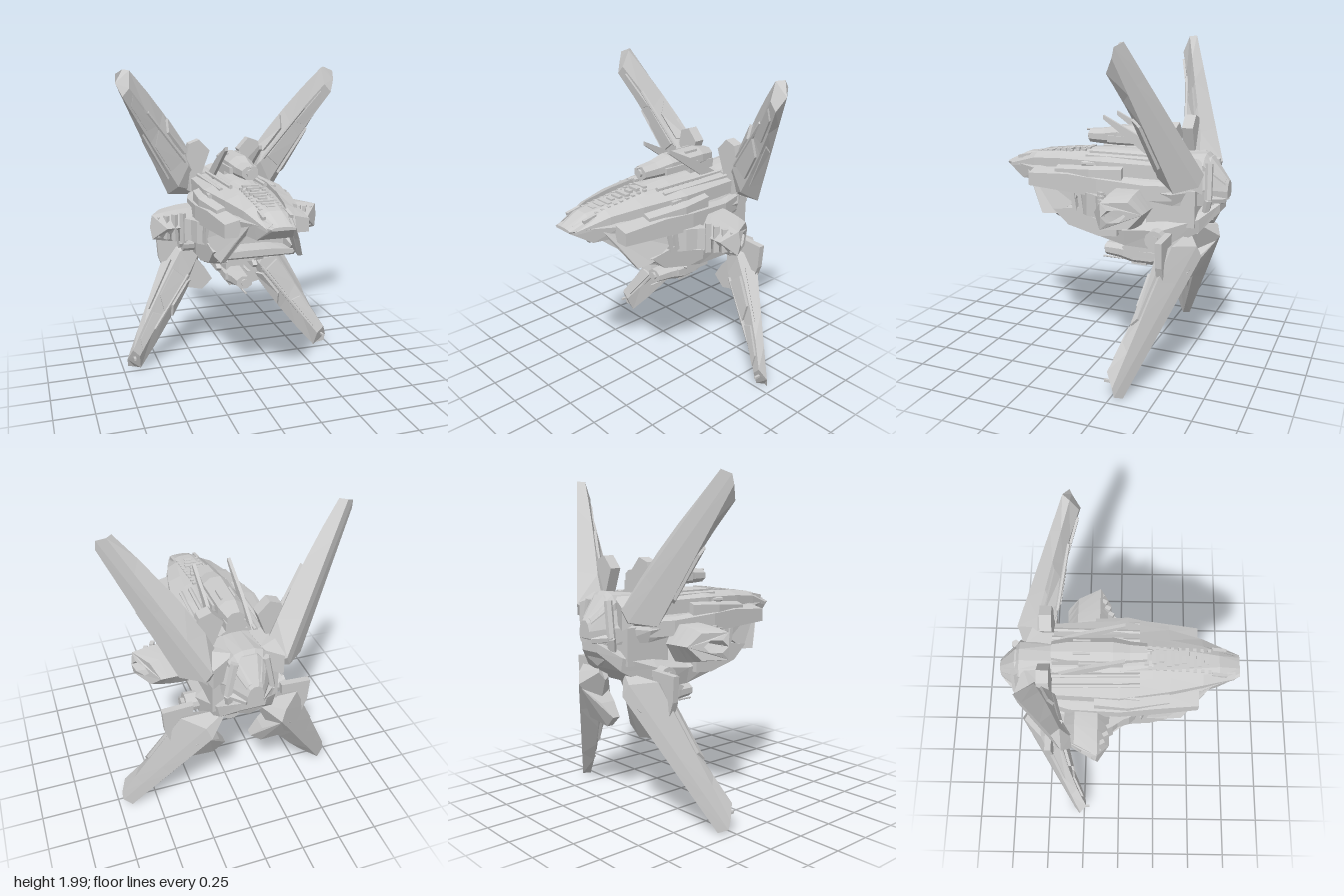
import * as THREE from 'three';

const mat = new THREE.MeshStandardMaterial({ color: 0xcccccc, flatShading: true, side: THREE.DoubleSide });

// Skin through a list of closed rings of [x, y, z], capped at both ends
function loft(rings) {
  const n = rings[0].length, idx = [];
  for (let r = 0; r < rings.length - 1; r++) for (let i = 0; i < n; i++) {
    const a = r * n + i, b = r * n + (i + 1) % n;
    idx.push(a, b, a + n, b, b + n, a + n);
  }
  [0, rings.length - 1].forEach((r, end) => {
    const tris = [];
    for (let i = 1; i < n - 1; i++) tris.push(r * n, r * n + i, r * n + i + 1);
    idx.push(...(end ? tris : tris.reverse()));
  });
  const g = new THREE.BufferGeometry();
  g.setAttribute('position', new THREE.Float32BufferAttribute(rings.flat(2), 3));
  g.setIndex(idx);
  const flat = g.toNonIndexed();
  flat.computeVertexNormals();
  return flat;
}

function add(parent, name, geo, x = 0, y = 0, z = 0, rx = 0, ry = 0, rz = 0) {
  const m = new THREE.Mesh(geo, mat);
  m.name = name;
  m.position.set(x, y, z);
  m.rotation.set(rx, ry, rz);
  parent.add(m);
  return m;
}
const box = (w, h, d) => new THREE.BoxGeometry(w, h, d);
const cyl = (r0, r1, h, n = 8) => new THREE.CylinderGeometry(r0, r1, h, n);

// Slabs: outline in (z, y) between two x values, or in (x, y) between two z values
const slab = (zy, x0, x1) => loft([x0, x1].map(x => zy.map(([z, y]) => [x, y, z])));
const plate = (xy, z0, z1) => loft([z0, z1].map(z => xy.map(([x, y]) => [x, y, z])));

// Box-section bar through stations of [z, inner x, outer x, top y, bottom y]
const bar = st => loft(st.map(([z, x0, x1, t, b]) => [[x0, t, z], [x1, t - 0.03, z], [x1, b, z], [x0, b, z]]));

// Symmetric hull ring from z, half width, top, waist and bottom heights
function hullRing([z, w, top, mid, bot]) {
  const half = [[0.3 * w, top], [0.72 * w, top * 0.7 + mid * 0.3], [w, mid], [0.9 * w, bot]];
  return [...half, ...half.slice().reverse().map(([x, y]) => [-x, y])].map(([x, y]) => [x, y, z]);
}

// Thin beam between two points
function beam(parent, name, a, b, r, n = 6) {
  const p = new THREE.Vector3(...a), q = new THREE.Vector3(...b), d = q.clone().sub(p);
  const m = add(parent, name, cyl(r, r, d.length(), n));
  m.position.copy(p).add(q).multiplyScalar(0.5);
  m.quaternion.setFromUnitVectors(new THREE.Vector3(0, 1, 0), d.normalize());
}

// Wing edges as [root, tip]: outer, two back, inner, front inner, front outer
const EDGES = [
  [[0.37, 1.15, -0.50], [0.725, 1.91, -0.275]],
  [[0.25, 1.17, -0.612], [0.72, 1.965, -0.285]],
  [[0.22, 1.24, -0.635], [0.67, 1.99, -0.32]],
  [[0.21, 1.41, -0.49], [0.635, 1.985, -0.28]],
  [[0.25, 1.36, -0.38], [0.645, 1.88, -0.235]],
  [[0.32, 1.22, -0.39], [0.69, 1.83, -0.23]],
];
const mix = (a, b, t) => a.map((v, i) => v + (b[i] - v) * t);
const wingPoint = (e, t) => {
  const p = mix(EDGES[e][0], EDGES[e][1], t);
  if (e > 3) p[2] -= 0.1 * t * (1 - t);
  if (e === 3) { p[0] -= 0.04 * t * (1 - t); p[1] += 0.06 * t * (1 - t); }
  return p;
};

// Raised plate on the wing between two edges, s = range across it
function wingPanel(e0, e1, t0, t1, s0, s1, lift) {
  const c = (t, s) => mix(wingPoint(e0, t), wingPoint(e1, t), s), d = (t1 - t0) * 0.15;
  const base = [c(t0, s0), c(t0 + d, s1), c(t1 - d, s1), c(t1, s0)];
  return loft([base, base.map(p => p.map((v, i) => v + lift[i]))]);
}

function wing(lower) {
  const g = new THREE.Group();
  const root = EDGES.map((_, e) => mix(wingPoint(e, 0), [0.08, 1.13, -0.52], 0.7));
  add(g, 'wingBlade', loft([root, ...[0, 0.25, 0.5, 0.75, 1].map(t => EDGES.map((_, e) => wingPoint(e, t)))]));
  // armour on the front and inner faces
  add(g, 'wingPlate', wingPanel(4, 5, 0.1, 0.5, 0.1, 0.9, [0, 0, 0.02]));
  add(g, 'wingPlate', wingPanel(4, 5, 0.55, 0.93, 0.15, 0.8, [0, 0, 0.015]));
  add(g, 'wingPlate', wingPanel(3, 4, 0.05, 0.45, 0.2, 0.8, [-0.015, 0.01, 0.01]));
  add(g, 'wingPlate', wingPanel(5, 0, 0.12, 0.6, 0.25, 0.8, [0.01, -0.01, 0.01]));
  beam(g, 'wingConduit', wingPoint(4, 0.05), wingPoint(4, 0.7), 0.012);
  if (lower) {
    add(g, 'wingHinge', cyl(0.06, 0.06, 0.1, 12), 0.26, 1.15, -0.37, 0, 0, Math.PI / 2);
    add(g, 'wingHingeCap', cyl(0.03, 0.04, 0.03, 8), 0.32, 1.15, -0.37, 0, 0, Math.PI / 2);
    add(g, 'wingTipGun', box(0.015, 0.015, 0.04), 0.68, 1.89, -0.23);
  }
  return g;
}

// Hollow six-sided pod pointing sideways, swept to a slimmer outer end
function sidePod() {
  const hex = (r, ry) => Array.from({ length: 6 }, (_, i) =>
    new THREE.Vector2(Math.cos(i * Math.PI / 3) * r, Math.sin(i * Math.PI / 3) * r * ry));
  const s = new THREE.Shape(hex(0.14, 0.92));
  s.holes.push(new THREE.Path(hex(0.06, 1)));
  const geo = new THREE.ExtrudeGeometry(s, { depth: 1, steps: 4, bevelEnabled: false });
  const p = geo.attributes.position;
  for (let i = 0; i < p.count; i++) {
    const z = p.getX(i) - 0.2, t = p.getZ(i);
    const y = 1.035 + p.getY(i) * (1 - 0.3 * t * t);
    const outer = Math.min(0.565 + 0.65 * (z + 0.14), 0.565 - 1.2 * (z + 0.14));
    p.setXYZ(i, 0.25 + (outer - 0.25) * t, y, z);
  }
  // swapping the axes mirrors the shape, so turn the faces back
  for (let i = 0; i < p.count; i += 3) {
    const a = [p.getX(i), p.getY(i), p.getZ(i)];
    p.setXYZ(i, p.getX(i + 1), p.getY(i + 1), p.getZ(i + 1));
    p.setXYZ(i + 1, ...a);
  }
  geo.computeVertexNormals();
  return geo;
}

// Gun turret along z with its nose at z1; dir = 1 above the hull, -1 below
function turret(parent, name, y, z0, z1, dir) {
  const ring = ([z, r, dy]) => Array.from({ length: 8 }, (_, i) => {
    const a = (i + 0.5) * Math.PI / 4;
    return [Math.cos(a) * r * 1.25, y + dir * dy + Math.sin(a) * r, z];
  });
  const g = new THREE.Group(), yb = y + (dir > 0 ? 0.025 : -0.052);
  g.name = name;
  add(g, 'turretBody', loft([[z0, 0.045, 0], [z0 + 0.1, 0.062, 0.005], [z1 - 0.2, 0.066, 0.003],
    [z1 - 0.1, 0.052, -0.008], [z1, 0.044, -0.01]].map(ring)));
  add(g, 'turretMuzzle', cyl(0.025, 0.025, 0.03, 8), 0, y - dir * 0.01, z1, Math.PI / 2);
  add(g, 'turretNeck', box(0.12, 0.12, 0.2), 0, y - dir * 0.08, z0 + 0.1);
  for (const s of [-1, 1]) {
    add(g, 'turretRail', box(0.02, 0.04, 0.26), s * 0.077, y - dir * 0.015, z1 - 0.27);
    add(g, 'turretFin', box(0.012, 0.04, 0.1), s * 0.04, y + dir * 0.045, z0 + 0.18);
  }
  beam(g, 'turretBarrel', [0, yb, z1 - 0.2], [0, yb, z1 + 0.03], 0.007);
  parent.add(g);
}

function halfDetails() {
  const g = new THREE.Group();
  // cheeks beside the open mouth, leaning in towards the nose
  add(g, 'cheekPlate', loft([0, 0.03].map(d => [[0.13 - d, 1.19, 0.56], [0.2 - d, 1.06, 0.47], [0.255 - d, 0.93, 0.39],
    [0.265 - d, 0.94, 0.29], [0.275 - d, 1.02, 0.16], [0.28 - d, 1.17, 0.1]])));
  add(g, 'shoulder', bar([[0.48, 0.13, 0.255, 1.21, 1.1], [0.2, 0.18, 0.285, 1.23, 1.09], [0, 0.2, 0.305, 1.22, 1.08],
    [-0.3, 0.2, 0.285, 1.2, 1.08], [-0.45, 0.18, 0.24, 1.2, 1.08]]));
  add(g, 'jawSide', slab([[0.3, 0.97], [0.2, 0.88], [0, 0.83], [-0.12, 0.84], [-0.12, 0.95], [0.1, 1.0]], 0.22, 0.275));
  add(g, 'sidePod', sidePod());
  add(g, 'podFairing', loft([0.96, 1.1].map(y => [[0.25, y, 0.13], [0.31, y, 0.06], [0.33, y, -0.01], [0.38, y, -0.06], [0.25, y, -0.06]])));
  // ribs around the pod and along the flank
  for (let i = 0; i < 4; i++)
    add(g, 'podRib', box(0.025, 0.19 - i * 0.02, 0.035), 0.37 + i * 0.048, 1.035, -0.06 - i * 0.022, 0, -0.5, 0);
  for (let i = 0; i < 5; i++)
    add(g, 'sideRib', box(0.05, 0.13, 0.025), 0.26, 1.04, 0.16 - i * 0.045, 0.15);
  // long dorsal plates and conduits
  add(g, 'dorsalPlate', bar([[0.70, 0.05, 0.085, 1.225, 1.18], [0.5, 0.09, 0.15, 1.285, 1.2], [0.30, 0.12, 0.2, 1.305, 1.22],
    [0, 0.15, 0.25, 1.315, 1.2], [-0.4, 0.13, 0.23, 1.31, 1.2]]));
  add(g, 'sidePlate', bar([[0.3, 0.16, 0.25, 1.25, 1.15], [0.05, 0.2, 0.295, 1.27, 1.15], [-0.15, 0.2, 0.28, 1.28, 1.15]]));
  for (const [x0, x1, y] of [[0.11, 0.12, 1.315], [0.17, 0.18, 1.3], [0.24, 0.2, 1.265]])
    beam(g, 'dorsalConduit', [x0, y, 0.12], [x1, y, -0.41], 0.014);
  add(g, 'noseSensor', box(0.02, 0.02, 0.09), 0.08, 1.25, 0.6, 0.2);
  // slanted aerial fin
  add(g, 'aerialFin', slab([[0.03, 1.545], [0.03, 1.52], [-0.36, 1.24], [-0.4, 1.3], [-0.2, 1.43]], 0.1, 0.12));
  // cowl joining the tail to the wing root, and plates around the roots
  add(g, 'shoulderCowl', loft([0, -0.13].map(d => [[0.07, 1.31 + d, -0.575], [0.21, 1.26 + d, -0.625],
    [0.27, 1.33 + d, -0.5], [0.24, 1.32 + d, -0.4], [0.07, 1.31 + d, -0.4]])));
  add(g, 'upperRootFlap', plate([[0.1, 1.46], [0.17, 1.535], [0.24, 1.51], [0.28, 1.32], [0.16, 1.3]], -0.4, -0.47));
  add(g, 'lowerOuterFlap', plate([[0.28, 0.9], [0.47, 0.89], [0.46, 0.74], [0.41, 0.6], [0.3, 0.7]], -0.43, -0.47));
  // deep inner flap, thickest where it meets the wing
  const flap = [[0.23, 0.74, -0.62], [0.14, 0.64, -0.53], [0.085, 0.55, -0.48], [0.16, 0.48, -0.47], [0.33, 0.52, -0.5], [0.31, 0.68, -0.575]];
  add(g, 'lowerInnerFlap', loft([flap, flap.map(([x, y]) => [x, y, -0.43])]));
  // rear frame struts and belly parts
  beam(g, 'rearStrut', [0.09, 1.29, -0.63], [0.13, 1.08, -0.64], 0.025);
  beam(g, 'rearStrut', [0.13, 1.08, -0.64], [0.1, 0.93, -0.61], 0.025);
  beam(g, 'rearStrut', [0.13, 1.08, -0.63], [0.04, 1.07, -0.71], 0.025);
  add(g, 'bellyFin', slab([[-0.1, 0.73], [-0.12, 0.71], [-0.36, 0.72], [-0.4, 0.8], [-0.22, 0.8]], 0.11, 0.14));
  add(g, 'bellyPlate', box(0.09, 0.03, 0.2), 0.16, 0.815, -0.02, -0.35, 0, 0.15);
  return g;
}

export function createModel() {
  const ship = new THREE.Group();
  ship.name = 'fourWingedShip';

  add(ship, 'upperHull', loft([
    [0.73, 0.07, 1.21, 1.20, 1.19], [0.60, 0.12, 1.27, 1.20, 1.11], [0.45, 0.18, 1.285, 1.19, 1.12],
    [0.20, 0.25, 1.305, 1.17, 1.09], [0, 0.29, 1.31, 1.15, 1.08], [-0.25, 0.28, 1.3, 1.14, 1.08],
    [-0.45, 0.25, 1.29, 1.12, 1.05], [-0.63, 0.13, 1.32, 1.14, 1.04], [-0.735, 0.05, 1.18, 1.12, 1.08],
  ].map(hullRing)));
  add(ship, 'lowerHull', loft([
    [0.30, 0.25, 0.96, 0.94, 0.92], [0.05, 0.27, 0.96, 0.9, 0.83], [-0.15, 0.24, 0.95, 0.87, 0.77],
    [-0.4, 0.25, 0.99, 0.9, 0.77], [-0.6, 0.18, 1.02, 0.97, 0.89], [-0.7, 0.08, 1.08, 1.05, 1.0],
  ].map(hullRing)));
  add(ship, 'throatBlock', box(0.46, 0.2, 0.24), 0, 1.03, 0.03);
  add(ship, 'rearCore', box(0.4, 0.22, 0.3), 0, 1.03, -0.43);
  add(ship, 'rearHatch', cyl(0.09, 0.11, 0.05, 6), 0, 1.0, -0.65, -Math.PI / 2 - 0.3);
  add(ship, 'mouthEye', cyl(0.04, 0.05, 0.08, 8), 0, 1.15, 0.18, Math.PI / 2);
  add(ship, 'tailHood', loft([
    [-0.4, 0.1, 1.32, 1.3, 1.2], [-0.6, 0.12, 1.34, 1.28, 1.15], [-0.72, 0.05, 1.2, 1.17, 1.1]].map(hullRing)));
  // turret bed and machinery along the spine
  add(ship, 'spineBed', loft([
    [0.2, 0.06, 1.32, 1.3, 1.25], [0, 0.09, 1.335, 1.31, 1.25], [-0.4, 0.1, 1.34, 1.31, 1.25]].map(hullRing)));
  for (let i = 0; i < 9; i++) {
    const z = 0.16 + i * 0.045;
    add(ship, 'spineBlock', box(0.1 - (i % 3) * 0.025, 0.03, 0.028), 0, 1.315 - i * 0.006, z);
    for (const s of [-1, 1]) add(ship, 'spineStud', box(0.02, 0.03, 0.02), s * 0.065, 1.305 - i * 0.006, z + 0.02);
  }
  for (let i = 0; i < 4; i++) add(ship, 'bellyRib', box(0.3 - i * 0.03, 0.03, 0.04), 0, 0.85 - i * 0.028, 0.03 - i * 0.06);

  turret(ship, 'topTurret', 1.41, -0.4, 0.16, 1);
  turret(ship, 'bottomTurret', 0.66, -0.36, 0.05, -1);

  for (const side of [1, -1]) {
    const half = halfDetails();
    half.name = side > 0 ? 'leftHullDetails' : 'rightHullDetails';
    half.scale.x = side;
    ship.add(half);
    for (const up of [1, -1]) {
      const w = wing(up < 0);
      w.name = (up > 0 ? 'upper' : 'lower') + (side > 0 ? 'LeftWing' : 'RightWing');
      w.scale.set(side, up, 1);
      w.position.y = up > 0 ? 0.01 : 2;
      ship.add(w);
    }
  }
  return ship;
}
